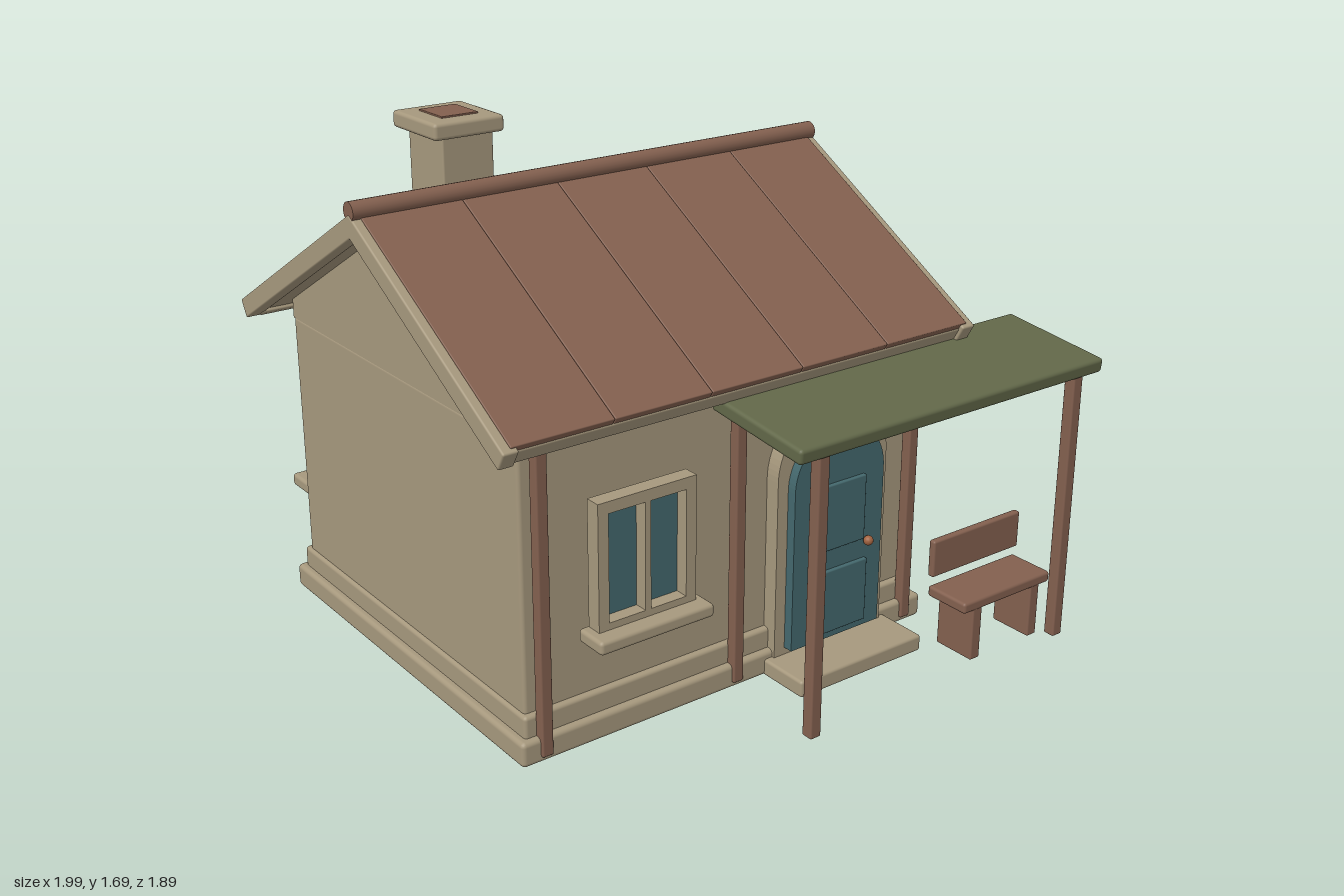
import * as THREE from 'three';
import { RoundedBoxGeometry } from 'three/addons/geometries/RoundedBoxGeometry.js';

const mat = (name, color) => Object.assign(new THREE.MeshStandardMaterial({ color }), { name });

export function createModel() {
  const cream = mat('cream plaster', 0xa6987d);
  const rust = mat('rust brown', 0x83604f);
  const green = mat('moss green', 0x626849);
  const teal = mat('teal', 0x44686d);
  const copper = mat('copper', 0xa0623f);

  const model = new THREE.Group();
  model.name = 'cottage';
  const CX = -0.14, CZ = -0.145; // centre of the house body

  const add = (parent, name, geo, material) => {
    const m = new THREE.Mesh(geo, material);
    m.name = name;
    parent.add(m);
    return m;
  };
  // Softly bevelled box given by its min and max on each axis
  const box = (parent, name, material, [x0, x1], [y0, y1], [z0, z1], r = 0.006) => {
    const s = [x1 - x0, y1 - y0, z1 - z0];
    const m = add(parent, name, new RoundedBoxGeometry(...s, 2, Math.min(r, Math.min(...s) * 0.3)), material);
    m.position.set((x0 + x1) / 2, (y0 + y1) / 2, (z0 + z1) / 2);
    return m;
  };
  const around = (c, h) => [c - h, c + h];
  const extrude = (shape, depth) =>
    new THREE.ExtrudeGeometry(shape, { depth, bevelEnabled: false, curveSegments: 20 });
  const rectPoints = (x0, x1, y0, y1) => [
    new THREE.Vector2(x0, y0), new THREE.Vector2(x1, y0),
    new THREE.Vector2(x1, y1), new THREE.Vector2(x0, y1)];

  // Body: plinth, skirting band, walls
  box(model, 'plinth', cream, around(CX, 0.775), [0, 0.08], around(CZ, 0.712), 0.015);
  box(model, 'skirtingBand', cream, around(CX, 0.752), [0.07, 0.148], around(CZ, 0.69), 0.012);
  box(model, 'walls', cream, around(CX, 0.74), [0.05, 0.975], around(CZ, 0.67), 0.012);

  // Gable ends, one prism running the length of the house
  const gable = new THREE.Shape([[-0.67, 0.97], [0.67, 0.97], [0.67, 1.035], [0, 1.422], [-0.67, 1.035]]
    .map(([x, y]) => new THREE.Vector2(x, y)));
  const g = add(model, 'gable', extrude(gable, 1.48), cream);
  g.rotation.y = Math.PI / 2;
  g.position.set(CX - 0.74, 0, CZ);

  // Roof: two mirrored slopes, each with panels, deck, eave board and bargeboards
  for (const s of [1, -1]) {
    const slope = new THREE.Group();
    slope.name = s > 0 ? 'frontRoofSlope' : 'backRoofSlope';
    slope.position.set(0, 1.488, CZ);
    slope.rotation.x = s * Math.PI / 6;
    model.add(slope);
    const along = (a, b) => (s > 0 ? [a, b] : [-b, -a]);
    for (let i = 0; i < 5; i++) {
      const x = -0.97 + i * 0.333;
      box(slope, 'roofPanel', rust, [x, x + 0.331], [-0.022, 0], along(0, 0.912), 0.003);
    }
    box(slope, 'roofDeck', cream, [-0.968, 0.692], [-0.06, -0.012], along(0.005, 0.9), 0.003);
    box(slope, 'eaveBoard', cream, [-0.96, 0.685], [-0.072, -0.02], along(0.875, 0.915));
    for (const x of [-1, 0.67]) {
      box(slope, 'bargeboard', cream, [x, x + 0.05], [-0.068, -0.005], along(0, 0.927));
    }
  }
  const ridge = add(model, 'ridgeCap', new THREE.CylinderGeometry(0.03, 0.03, 1.715, 20), rust);
  ridge.rotation.z = Math.PI / 2;
  ridge.position.set(CX, 1.49, CZ);

  // Chimney
  box(model, 'chimneyShaft', cream, [-0.64, -0.465], [1.2, 1.64], [-0.425, -0.225]);
  box(model, 'chimneyCap', cream, [-0.675, -0.435], [1.633, 1.685], [-0.46, -0.205], 0.012);
  box(model, 'chimneyOpening', rust, [-0.615, -0.49], [1.682, 1.69], [-0.4, -0.265], 0.001);

  // Double-pane window, facing local +z with the wall at z = 0
  const addWindow = (name, x, z, turn, half) => {
    const w = new THREE.Group();
    w.name = name;
    w.position.set(x, 0, z);
    w.rotation.y = turn;
    model.add(w);
    const frame = new THREE.Shape(rectPoints(-half, half, 0.36, 0.772));
    const inner = half - 0.036;
    for (const [a, b] of [[-inner, -0.01], [0.01, inner]]) {
      frame.holes.push(new THREE.Path(rectPoints(a, b, 0.395, 0.735)));
    }
    add(w, 'windowFrame', extrude(frame, 0.052), cream).position.z = 0.025;
    box(w, 'windowGlass', teal, around(0, half - 0.012), [0.38, 0.755], [0.024, 0.033], 0.001);
    box(w, 'windowSill', cream, around(0, half + 0.03), [0.33, 0.373], [0.015, 0.13], 0.012);
  };
  addWindow('frontWindow', -0.5, CZ + 0.67, 0, 0.172);
  addWindow('leftWindow', CX + 0.74, -0.147, Math.PI / 2, 0.205);
  for (const x of [-0.665, 0.388]) addWindow('backWindow', x, CZ - 0.67, Math.PI, 0.174);

  // Arched doorway
  const arch = (half, y0, top) => {
    const s = new THREE.Shape();
    s.moveTo(-half, y0).lineTo(half, y0).lineTo(half, top - half);
    s.absarc(0, top - half, half, 0, Math.PI, false);
    return s;
  };
  const door = new THREE.Group();
  door.name = 'doorway';
  door.position.x = 0.22;
  model.add(door);
  add(door, 'doorSurround', extrude(arch(0.22, 0.05, 0.867), 0.065), cream).position.z = 0.512;
  add(door, 'door', extrude(arch(0.18, 0.08, 0.793), 0.05), teal).position.z = 0.56;
  box(door, 'upperDoorPanel', teal, [-0.1, 0.1], [0.39, 0.61], [0.6, 0.622], 0.005);
  box(door, 'lowerDoorPanel', teal, [-0.115, 0.115], [0.105, 0.32], [0.6, 0.622], 0.005);
  const knob = add(door, 'doorKnob', new THREE.SphereGeometry(0.016, 16, 12), copper);
  knob.position.set(0.112, 0.383, 0.627);
  box(model, 'doorStep', cream, [-0.03, 0.47], [0, 0.056], [0.5, 0.742], 0.01);

  // Timber posts on the wall and under the porch
  for (const x of [-0.835, -0.14, 0.56]) {
    box(model, 'wallPost', rust, around(x, 0.019), [0.02, 0.975], [0.54, 0.577]);
  }
  for (const x of [-0.14, 0.895]) {
    box(model, 'porchPost', rust, around(x, 0.02), [0, 0.905], [0.895, 0.935]);
  }

  // Porch roof, tilted forward
  const porch = box(model, 'porchRoof', green, around(0.375, 0.615), around(0.936, 0.024), around(0.75, 0.197), 0.012);
  porch.rotation.x = 0.11;

  // Bench
  const bench = new THREE.Group();
  bench.name = 'bench';
  model.add(bench);
  box(bench, 'benchSeat', rust, [0.5, 0.885], [0.18, 0.217], [0.73, 0.893], 0.01);
  box(bench, 'benchBack', rust, [0.5, 0.885], [0.25, 0.375], [0.725, 0.75], 0.008);
  for (const x of [0.563, 0.822]) {
    box(bench, 'benchLeg', rust, around(x, 0.02), [0.005, 0.19], [0.74, 0.89]);
  }
  return model;
}
